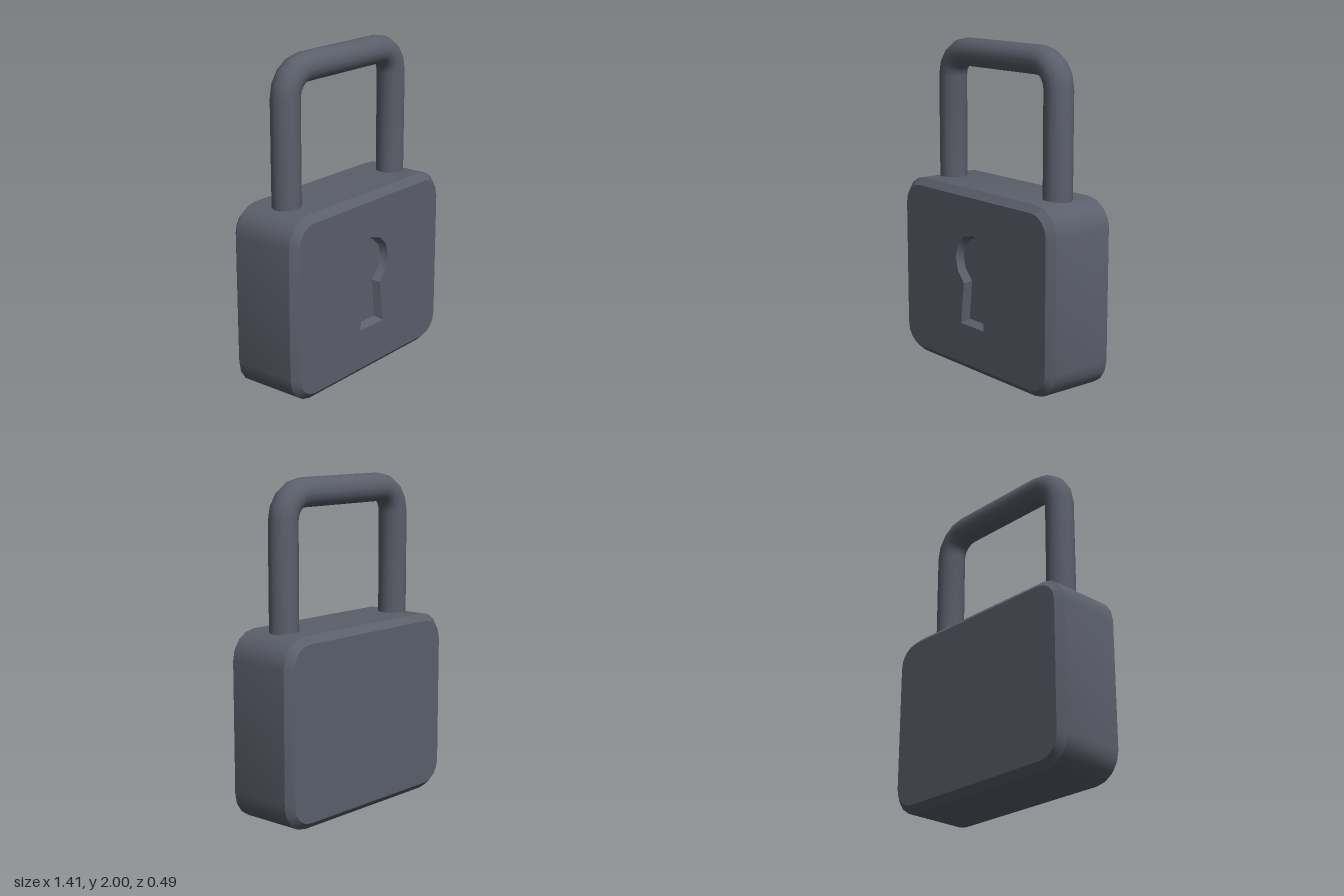
import * as THREE from 'three';
import { mergeGeometries, toCreasedNormals } from 'three/addons/utils/BufferGeometryUtils.js';

// Rounded rectangle outline, counter-clockwise
function roundedRect(halfW, y0, y1, r, z) {
  const pts = [];
  const corners = [[halfW - r, y1 - r], [r - halfW, y1 - r], [r - halfW, y0 + r], [halfW - r, y0 + r]];
  corners.forEach(([cx, cy], k) => {
    for (let i = 0; i <= 4; i++) {
      const a = (k + i / 4) * Math.PI / 2;
      pts.push(new THREE.Vector3(cx + r * Math.cos(a), cy + r * Math.sin(a), z));
    }
  });
  return pts;
}

// Keyhole outline: a twelve-sided round above a flared slot, counter-clockwise
function keyhole(r, neckX, neckY, baseX, baseY, z) {
  const pts = [new THREE.Vector3(baseX, baseY, z), new THREE.Vector3(neckX, neckY, z)];
  for (let i = -1; i <= 7; i++) {
    const a = i * Math.PI / 6;
    pts.push(new THREE.Vector3(r * Math.cos(a), 0.7 + r * Math.sin(a), z));
  }
  pts.push(new THREE.Vector3(-neckX, neckY, z), new THREE.Vector3(-baseX, baseY, z));
  return pts;
}

// Skin a row of closed loops
function loft(loops) {
  const pts = [];
  for (let k = 0; k < loops.length - 1; k++) {
    const a = loops[k], b = loops[k + 1];
    a.forEach((p, i) => {
      const j = (i + 1) % a.length;
      pts.push(p, a[j], b[j], p, b[j], b[i]);
    });
  }
  return new THREE.BufferGeometry().setFromPoints(pts);
}

// Flat face inside a loop, optionally pierced or turned to the back
function cap(loop, hole, back) {
  const flat = (l) => l.map((p) => new THREE.Vector2(p.x, p.y));
  const shape = new THREE.Shape(flat(loop));
  if (hole) shape.holes.push(new THREE.Path(flat(hole)));
  let g = new THREE.ShapeGeometry(shape);
  if (back) g.rotateY(Math.PI);
  g = g.translate(0, 0, loop[0].z).toNonIndexed();
  g.deleteAttribute('uv');
  g.deleteAttribute('normal');
  return g;
}

export function createModel() {
  const group = new THREE.Group();
  const metal = new THREE.MeshStandardMaterial({ color: 0x5b5f6b });
  metal.name = 'darkGreyMetal';

  const add = (name, parts) => {
    const mesh = new THREE.Mesh(toCreasedNormals(mergeGeometries(parts), 0.6), metal);
    mesh.name = name;
    group.add(mesh);
  };

  // Body with chamfered front and back edges
  const H = 1.13, W = 0.705, D = 0.243, C = 0.042;
  const outline = (inset, z) => roundedRect(W - inset, inset, H - inset, 0.17 - inset, z);
  const loops = [outline(C, -D), outline(0, C - D), outline(0, D - C), outline(C, D)];
  const rim = keyhole(0.16, 0.08, 0.55, 0.111, 0.292, D);
  const floor = keyhole(0.138, 0.058, 0.562, 0.082, 0.318, D - 0.045);
  add('lockBody', [loft(loops), cap(loops[0], null, true), cap(loops[3], rim)]);

  // Sunken keyhole with sloping walls
  add('keyholeRecess', [loft([rim, floor]), cap(floor)]);

  // Shackle: round rings swept up one leg, around both bends and down
  const R = 0.087, bend = 0.155, legX = 0.49, bendY = 1.76;
  const ring = (cx, cy, t) => Array.from({ length: 16 }, (_, i) => {
    const a = i * Math.PI / 8, d = R * Math.cos(a);
    return new THREE.Vector3(cx + d * Math.cos(t), cy + d * Math.sin(t), -R * Math.sin(a));
  });
  const rings = [ring(legX, 1.08, 0)];
  for (const side of [1, -1]) {
    for (let i = 0; i <= 4; i++) {
      const t = (i / 4 + (side < 0 ? 1 : 0)) * Math.PI / 2;
      rings.push(ring(side * (legX - bend) + bend * Math.cos(t), bendY + bend * Math.sin(t), t));
    }
  }
  rings.push(ring(-legX, 1.08, Math.PI));
  add('shackle', [loft(rings)]);

  return group;
}
